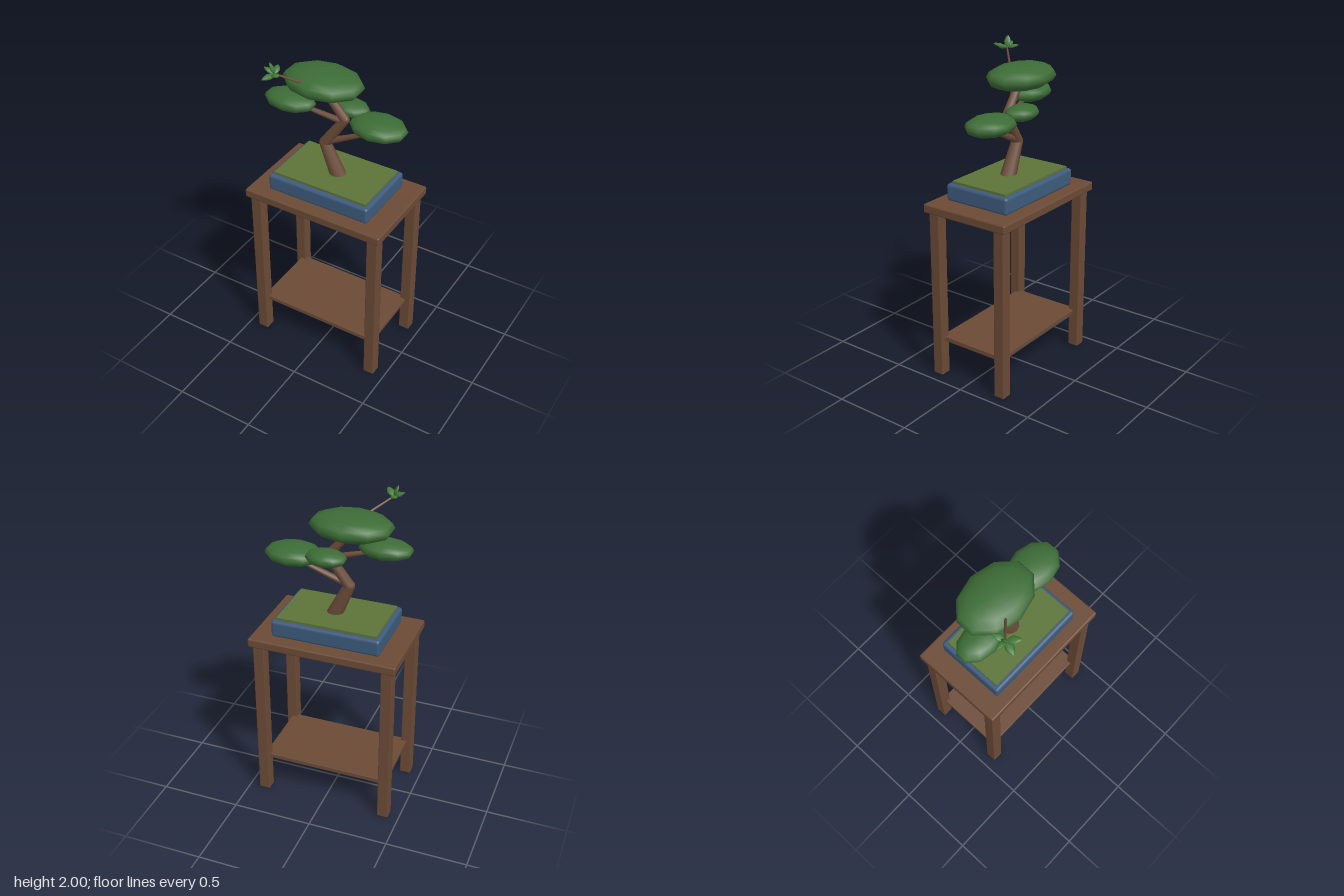
import * as THREE from 'three';
import { RoundedBoxGeometry } from 'three/addons/geometries/RoundedBoxGeometry.js';

const paint = (color) => new THREE.MeshStandardMaterial({ color });
const wood = paint(0x6b4a36), bark = paint(0x6a4a38), glaze = paint(0x3d5a7c);
const moss = paint(0x5c7438), foliage = paint(0x3c6c36), leafGreen = paint(0x437a3a);
const Z = -0.007; // depth centre of stand and pot

function add(parent, name, geometry, material, x = 0, y = 0, z = 0) {
  const mesh = new THREE.Mesh(geometry, material);
  mesh.name = name;
  mesh.position.set(x, y, z);
  parent.add(mesh);
  return mesh;
}

const box = (w, h, d, r) => new RoundedBoxGeometry(w, h, d, 2, r);

// Tapered round limb between two points
function limb(parent, name, a, b, ra, rb, sides = 10) {
  const from = new THREE.Vector3(...a), to = new THREE.Vector3(...b);
  const dir = to.clone().sub(from);
  const mesh = add(parent, name, new THREE.CylinderGeometry(rb, ra, dir.length(), sides), bark);
  mesh.position.copy(from).addScaledVector(dir, 0.5);
  mesh.quaternion.setFromUnitVectors(new THREE.Vector3(0, 1, 0), dir.normalize());
  return mesh;
}

function buildStand() {
  const stand = new THREE.Group();
  stand.name = 'stand';
  add(stand, 'tableTop', box(0.914, 0.055, 0.59, 0.01), wood, 0, 1.097, Z);
  add(stand, 'shelf', box(0.8, 0.03, 0.46, 0.004), wood, 0, 0.24, Z);
  for (const sx of [-1, 1]) {
    for (const sz of [-1, 1]) {
      add(stand, 'leg', box(0.07, 1.072, 0.07, 0.006), wood, sx * 0.4, 0.536, Z + sz * 0.235);
    }
  }
  return stand;
}

function buildPot() {
  const pot = new THREE.Group();
  pot.name = 'pot';
  add(pot, 'tray', box(0.672, 0.105, 0.44, 0.018), glaze, 0, 1.178, Z);
  add(pot, 'mossySoil', new THREE.BoxGeometry(0.62, 0.03, 0.385), moss, 0, 1.23, Z);
  return pot;
}

function buildTree() {
  const tree = new THREE.Group();
  tree.name = 'tree';

  // Zigzag trunk with rounded bends
  const bends = [[0.023, 1.22, -0.002], [-0.073, 1.43, -0.003], [0.052, 1.615, -0.018], [-0.09, 1.79, -0.008]];
  const radii = [0.05, 0.035, 0.028, 0.022];
  for (let i = 0; i < 3; i++) {
    limb(tree, 'trunk', bends[i], bends[i + 1], radii[i], radii[i + 1]);
    if (i) add(tree, 'trunkBend', new THREE.SphereGeometry(radii[i], 10, 8), bark, ...bends[i]);
  }

  // Branches reaching to the pads
  limb(tree, 'branch', [-0.06, 1.44, -0.003], [0.24, 1.575, -0.05], 0.022, 0.012, 8);
  limb(tree, 'branch', [0.045, 1.6, -0.015], [-0.24, 1.665, 0.04], 0.02, 0.011, 8);
  limb(tree, 'branch', [0.045, 1.59, -0.015], [0.03, 1.64, -0.11], 0.018, 0.011, 8);

  // Foliage pads: centre, then half sizes
  const pads = [
    [[-0.09, 1.822, -0.018], [0.25, 0.077, 0.18]],
    [[-0.275, 1.68, 0.045], [0.163, 0.056, 0.105]],
    [[0.25, 1.61, -0.054], [0.176, 0.06, 0.132]],
    [[0.03, 1.643, -0.11], [0.124, 0.048, 0.087]],
  ];
  const padShape = new THREE.SphereGeometry(1, 10, 8, Math.PI / 2);
  for (const [centre, size] of pads) {
    add(tree, 'foliagePad', padShape.clone().scale(...size), foliage, ...centre);
  }
  return tree;
}

// Fresh shoot with pointed leaves
function buildShoot() {
  const shoot = new THREE.Group();
  shoot.name = 'shoot';
  const hub = new THREE.Vector3(-0.258, 1.93, 0.21);
  limb(shoot, 'twig', [-0.14, 1.852, 0.1], hub.toArray(), 0.008, 0.006, 6);
  const profile = [[0, 0], [0.2, 0.2], [0.28, 0.48], [0.18, 0.78], [0, 1]].map((p) => new THREE.Vector2(...p));
  const leafShape = new THREE.LatheGeometry(profile, 8).scale(1, 1, 0.5);
  const tips = [[-0.025, 0.02, -0.07], [-0.066, 0.03, 0.008], [-0.028, -0.005, 0.087], [0.056, 0.027, 0.065], [-0.026, 0.07, 0.012]];
  for (const tip of tips) {
    const dir = new THREE.Vector3(...tip), length = dir.length();
    dir.normalize();
    // Broad face turned upward
    const side = new THREE.Vector3(0, 1, 0).cross(dir).normalize();
    const normal = side.clone().cross(dir);
    const leaf = add(shoot, 'leaf', leafShape, leafGreen);
    leaf.position.copy(hub);
    leaf.quaternion.setFromRotationMatrix(new THREE.Matrix4().makeBasis(side, dir, normal));
    leaf.scale.setScalar(length);
  }
  return shoot;
}

export function createModel() {
  const model = new THREE.Group();
  model.name = 'bonsaiOnStand';
  model.add(buildStand(), buildPot(), buildTree(), buildShoot());
  return model;
}
